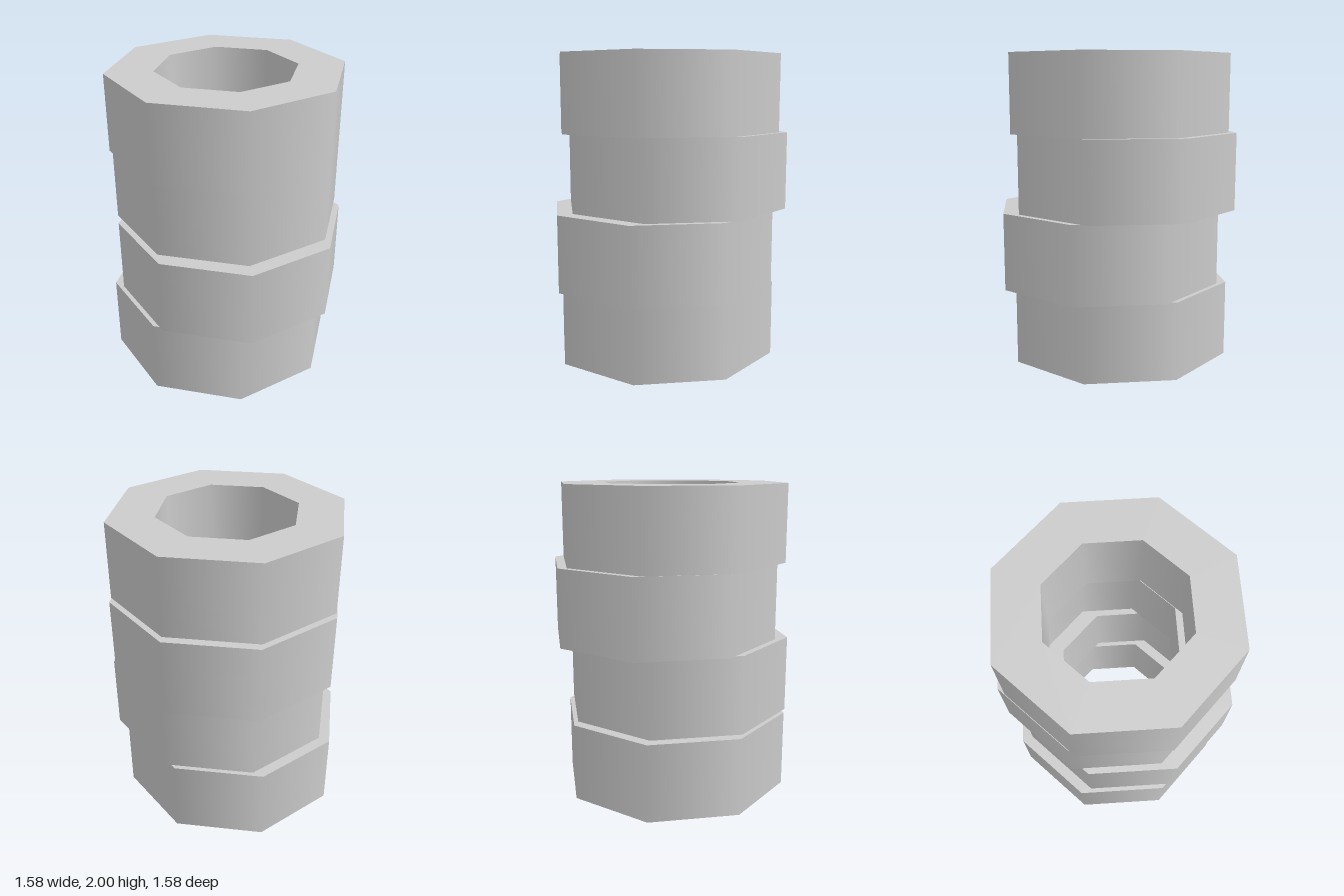
import * as THREE from 'three';

const SIDES = 8, OUTER = 0.75, INNER = 0.45, HEIGHT = 0.5;

export function createModel() {
  const model = new THREE.Group();
  model.name = 'ringStack';
  const material = new THREE.MeshStandardMaterial({ color: 0xcccccc, side: THREE.DoubleSide });

  // One smooth eight-sided surface turned from a straight profile
  const turned = (name, r0, y0, r1, y1) => {
    const profile = [new THREE.Vector2(r0, y0), new THREE.Vector2(r1, y1)];
    const mesh = new THREE.Mesh(new THREE.LatheGeometry(profile, SIDES), material);
    mesh.name = name;
    return mesh;
  };

  // Ring: outer wall, flat top and bore, open underneath
  const makeRing = (name) => {
    const ring = new THREE.Group();
    ring.name = name;
    ring.add(
      turned('outerWall', OUTER, 0, OUTER, HEIGHT),
      turned('topFace', OUTER, HEIGHT, INNER, HEIGHT),
      turned('bore', INNER, HEIGHT, INNER, 0),
    );
    return ring;
  };

  // Stack from the ground up, each ring slightly off centre (x, z)
  const offsets = [[-0.04, 0.04], [0.035, 0.04], [-0.04, -0.035], [-0.015, 0.015]];
  offsets.forEach(([x, z], i) => {
    const ring = makeRing(`ring${i + 1}`);
    ring.position.set(x, i * HEIGHT, z);
    model.add(ring);
  });
  return model;
}
